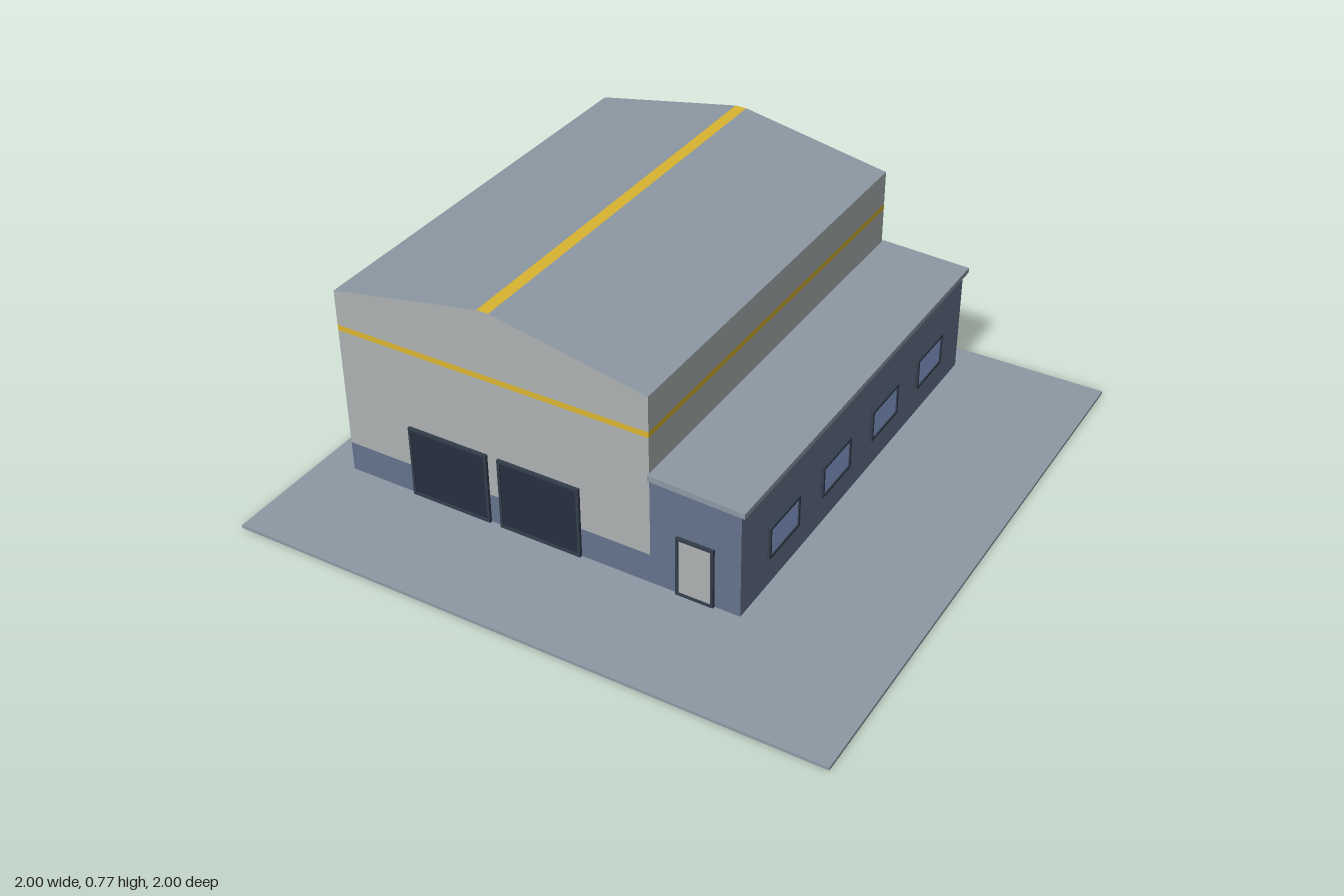
import * as THREE from 'three';

const mat = (color) => new THREE.MeshStandardMaterial({ color });
const M = {
  slab: mat(0x8d99a4), wall: mat(0xadb2b3), base: mat(0x64738c), roof: mat(0x8d99a4),
  yellow: mat(0xd9b430), frame: mat(0x343e4c), gate: mat(0x262e3f), glass: mat(0x8ea8dc),
};
const Z0 = -0.9, Z1 = 0.6;      // back and front walls
const X0 = -0.885, X1 = 0.21, X2 = 0.51; // hall left, hall/annex joint, annex right

function add(parent, name, geometry, material) {
  const mesh = new THREE.Mesh(geometry, material);
  mesh.name = name;
  parent.add(mesh);
  return mesh;
}

// Box given by its two corners
function box(parent, name, [x0, y0, z0], [x1, y1, z1], material) {
  const g = new THREE.BoxGeometry(x1 - x0, y1 - y0, z1 - z0);
  g.translate((x0 + x1) / 2, (y0 + y1) / 2, (z0 + z1) / 2);
  return add(parent, name, g, material);
}

// Profile in x/y swept along z
function prism(parent, name, points, z0, z1, material) {
  const shape = new THREE.Shape(points.map(([x, y]) => new THREE.Vector2(x, y)));
  const g = new THREE.ExtrudeGeometry(shape, { depth: z1 - z0, bevelEnabled: false });
  g.translate(0, 0, z0);
  return add(parent, name, g, material);
}

// Framed panel facing +z, its back on z = 0 and its bottom centre at the origin
function opening(name, w, h, rim, panelMaterial) {
  const group = new THREE.Group();
  group.name = name;
  const rect = (S, a, b) => new S([[-a, b], [a, b], [a, h - b], [-a, h - b]].map((p) => new THREE.Vector2(...p)));
  const outline = rect(THREE.Shape, w / 2, 0);
  outline.holes.push(rect(THREE.Path, w / 2 - rim, rim));
  add(group, 'frame', new THREE.ExtrudeGeometry(outline, { depth: 0.01, bevelEnabled: false }), M.frame);
  box(group, 'panel', [rim - w / 2, rim, 0], [w / 2 - rim, h - rim, 0.006], panelMaterial);
  return group;
}

export function createModel() {
  const model = new THREE.Group();
  model.name = 'warehouse';
  box(model, 'groundSlab', [-1, 0, -1], [1, 0.01, 1], M.slab);

  // Main hall: stacked wall layers
  const hall = new THREE.Group();
  hall.name = 'hall';
  model.add(hall);
  const layers = [
    ['plinth', 0.01, 0.113, M.base], ['lowerWall', 0.113, 0.53, M.wall],
    ['wallStripe', 0.53, 0.55, M.yellow], ['upperWall', 0.55, 0.67, M.wall],
  ];
  for (const [name, y0, y1, m] of layers) box(hall, name, [X0, y0, Z0], [X1, y1, Z1], m);

  // Gabled roof with a flat ridge strip; ends match the walls
  const eave = 0.67, ridge = 0.77, r0 = -0.358, r1 = -0.317;
  prism(hall, 'roofLeft', [[X0, eave], [r0, eave], [r0, ridge]], Z0, Z1, [M.wall, M.roof]);
  prism(hall, 'roofRight', [[r1, eave], [X1, eave], [r1, ridge]], Z0, Z1, [M.wall, M.roof]);
  prism(hall, 'ridgeStrip', [[r0, eave], [r1, eave], [r1, ridge], [r0, ridge]], Z0, Z1, [M.wall, M.yellow]);

  // Side annex with a lean-to roof
  const annex = new THREE.Group();
  annex.name = 'annex';
  model.add(annex);
  prism(annex, 'annexWalls', [[X1, 0.01], [X2, 0.01], [X2, 0.376], [X1, 0.386]], Z0, Z1, M.base);
  prism(annex, 'annexRoof', [[X1, 0.386], [0.525, 0.375], [0.525, 0.393], [X1, 0.407]], Z0 - 0.01, Z1 + 0.01, M.roof);

  // Gates and door on the front
  for (const x of [-0.5, -0.173]) {
    const gate = opening('gate', 0.288, 0.252, 0.009, M.gate);
    gate.position.set(x, 0.01, Z1);
    hall.add(gate);
  }
  const door = opening('door', 0.125, 0.21, 0.009, M.wall);
  door.position.set(0.362, 0.01, Z1);
  annex.add(door);

  // Windows along both sides
  for (let i = 0; i < 4; i++) {
    for (const [parent, x, side] of [[hall, X0, -1], [annex, X2, 1]]) {
      const win = opening('window', 0.185, 0.112, 0.009, M.glass);
      win.position.set(x, 0.113, 0.352 - i * 0.334);
      win.rotation.y = side * Math.PI / 2;
      parent.add(win);
    }
  }
  return model;
}
